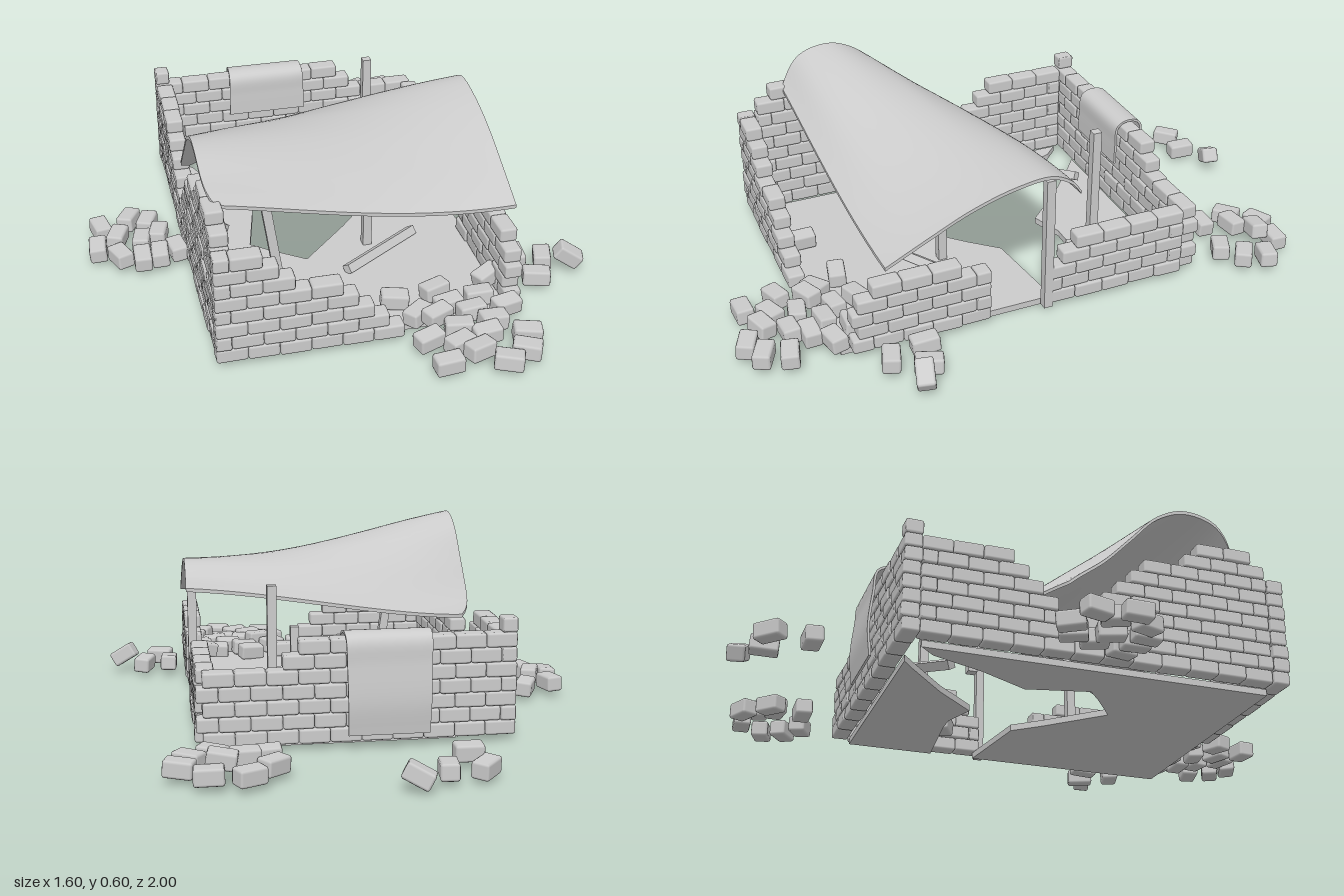
import * as THREE from 'three';
import { RoundedBoxGeometry } from 'three/addons/geometries/RoundedBoxGeometry.js';

const mat = new THREE.MeshStandardMaterial({ color: 0xcccccc });
const ROW = 0.047, BASE = 0.02, LEN = 0.098, DEPTH = 0.058;
const brickGeo = new RoundedBoxGeometry(LEN, ROW, DEPTH, 1, 0.008);

// small seeded jitter in -1..1
let seed = 7;
const jitter = () => {
  seed = (seed * 16807) % 2147483647;
  return (seed / 2147483647) * 2 - 1;
};

function add(parent, geo, name) {
  const m = new THREE.Mesh(geo, mat);
  m.name = name;
  parent.add(m);
  return m;
}

function group(parent, name) {
  const g = new THREE.Group();
  g.name = name;
  parent.add(g);
  return g;
}

// Brick wall along x or z; steps = [end, rows] pairs giving the broken top outline
function wall(parent, name, axis, fixed, start, steps) {
  const g = group(parent, name);
  const end = steps[steps.length - 1][0];
  const rowsAt = t => (steps.find(s => t <= s[0]) || [0, 0])[1];
  for (let r = 0; r < 10; r++) {
    let t = start, len = r % 2 ? LEN / 2 : LEN;
    while (t < end - 0.02) {
      const l = Math.min(len, end - t), mid = t + l / 2;
      if (rowsAt(mid) > r) {
        const b = add(g, brickGeo, 'brick');
        const off = fixed + jitter() * 0.003;
        b.scale.x = l / LEN;
        b.position.set(axis === 'x' ? mid : off, BASE + (r + 0.5) * ROW, axis === 'x' ? off : mid);
        b.rotation.y = (axis === 'x' ? 0 : Math.PI / 2) + jitter() * 0.02;
      }
      t += l;
      len = LEN;
    }
  }
}

// Loose bricks: [x, z, turn, height, tilt]
function rubble(parent, name, list) {
  const g = group(parent, name);
  for (const [x, z, turn, y = 0.045, tilt = 0] of list) {
    const b = add(g, brickGeo, 'looseBrick');
    b.scale.set(0.92, 1.15, 1);
    b.position.set(x, y + jitter() * 0.004, z);
    b.rotation.set(jitter() * 0.1, turn, tilt + jitter() * 0.08, 'YXZ');
  }
}

// Square beam between two points
function beam(parent, name, a, b, w = 0.03) {
  const p = new THREE.Vector3(...a), q = new THREE.Vector3(...b);
  const m = add(parent, new THREE.BoxGeometry(w, p.distanceTo(q), w), name);
  m.position.copy(p).add(q).multiplyScalar(0.5);
  m.quaternion.setFromUnitVectors(new THREE.Vector3(0, 1, 0), q.sub(p).normalize());
}

// Thin curved sheet: a box bent by rule(u, v, w), with w = 0 below and 1 above
function sheet(parent, name, nu, nv, rule) {
  const geo = new THREE.BoxGeometry(1, 1, 1, nu, 1, nv), p = geo.attributes.position;
  for (let i = 0; i < p.count; i++) {
    p.setXYZ(i, ...rule(p.getX(i) + 0.5, p.getZ(i) + 0.5, p.getY(i) + 0.5));
  }
  geo.computeVertexNormals();
  return add(parent, geo, name);
}

// Broken floor slab from an [x, z] outline
function slab(parent, name, pts) {
  const shape = new THREE.Shape(pts.map(([x, z]) => new THREE.Vector2(x, -z)));
  const geo = new THREE.ExtrudeGeometry(shape, { depth: 0.022, bevelEnabled: false });
  geo.rotateX(-Math.PI / 2);
  add(parent, geo, name);
}

const curve = pts => new THREE.CatmullRomCurve3(pts.map(([z, y]) => new THREE.Vector3(0, y, z)));

export function createModel() {
  const model = new THREE.Group();
  model.name = 'ruinedBrickHut';

  // Floor
  slab(model, 'mainFloor', [[-0.42, 0.69], [-0.42, -0.47], [-0.37, -0.42], [-0.3, -0.24], [-0.21, -0.07],
    [-0.26, 0.14], [-0.2, 0.19], [-0.09, 0.27], [0.08, 0.1], [0.16, 0.01], [0.48, -0.03], [0.48, 0.69]]);
  slab(model, 'backFloor', [[-0.3, -0.49], [0.48, -0.49], [0.48, -0.19], [0.2, -0.22], [0.14, -0.22],
    [0.03, -0.18], [-0.1, -0.32], [-0.25, -0.45]]);

  // Walls with broken, stepped tops
  wall(model, 'frontWall', 'x', 0.72, -0.48, [[-0.36, 8], [-0.28, 7], [-0.19, 6], [-0.1, 5], [-0.04, 4],
    [0.01, 3], [0.06, 2], [0.11, 1]]);
  wall(model, 'backWall', 'x', -0.52, -0.48, [[-0.42, 8], [0.24, 7], [0.29, 6], [0.52, 5]]);
  wall(model, 'rightWall', 'z', -0.451, -0.49, [[-0.17, 7], [-0.1, 6], [-0.06, 5], [-0.02, 3], [0.02, 2],
    [0.06, 3], [0.1, 4], [0.16, 5], [0.22, 6], [0.28, 7], [0.35, 8], [0.43, 9], [0.64, 10], [0.69, 9]]);
  wall(model, 'leftWallBack', 'z', 0.491, -0.49, [[-0.1, 5], [-0.05, 4], [-0.01, 2]]);
  wall(model, 'leftWallFront', 'z', 0.491, 0.2, [[0.25, 4], [0.58, 5], [0.66, 4]]);

  // Sagging roof sheet, blended between its two end profiles
  const endA = curve([[0, 0.28], [0.1, 0.35], [0.2, 0.45], [0.3, 0.55], [0.4, 0.59], [0.51, 0.565], [0.59, 0.47]]);
  const endB = curve([[-0.1, 0.42], [-0.07, 0.46], [0, 0.495], [0.12, 0.485], [0.27, 0.44], [0.42, 0.37], [0.55, 0.305]]);
  sheet(model, 'roofSheet', 32, 32, (u, v, w) => {
    const a = endA.getPoint(v), b = endB.getPoint(v);
    const k = u * u * (3 - 2 * u) * 0.5 + u * 0.5;
    const zk = 1 - (1 - u) ** 3;
    const edge = Math.abs(2 * v - 1);
    return [
      -0.478 + u * 1.005 + 0.04 * edge ** 8 * (1 - u) ** 6,
      a.y + (b.y - a.y) * k - 0.025 * Math.sin(Math.PI * u) * v + w * 0.012,
      a.z + (b.z - a.z) * (zk * (1 - v) + u * v),
    ];
  });

  // Cloth folded over the back wall
  const fold = curve([[-0.572, 0.05], [-0.582, 0.15], [-0.572, 0.27], [-0.562, 0.345], [-0.52, 0.36],
    [-0.482, 0.345], [-0.476, 0.28], [-0.474, 0.205]]);
  sheet(model, 'hangingCloth', 6, 40, (u, v, w) => {
    const p = fold.getPoint(v), t = fold.getTangent(v), d = w * 0.008;
    return [-0.205 + 0.27 * u + 0.015 * (0.5 - v) * Math.cos(Math.PI * u), p.y + t.z * d, p.z - t.y * d];
  });

  // Posts and fallen planks
  beam(model, 'doorPost', [0.505, 0.01, 0], [0.505, 0.485, 0]);
  beam(model, 'innerPost', [0.262, 0.01, -0.285], [0.262, 0.47, -0.285]);
  beam(model, 'brokenPost', [0.13, 0.02, 0.22], [0.13, 0.22, 0.22]);
  beam(model, 'shortPost', [-0.28, 0, -0.27], [-0.28, 0.1, -0.27]);
  beam(model, 'leaningPost', [-0.21, 0.02, 0.41], [-0.28, 0.5, 0.41]);
  beam(model, 'fallenPlank', [-0.26, 0.03, -0.33], [-0.12, 0.06, -0.42]);
  beam(model, 'fallenPlank', [-0.41, 0.04, -0.07], [-0.33, 0.04, 0.05]);
  beam(model, 'fallenPlank', [0.02, 0.035, 0.38], [0.3, 0.035, 0.2]);

  // Rubble around and inside the hut
  rubble(model, 'backRubble', [[-0.29, -0.9, 0.85], [-0.18, -0.9, 1.45], [-0.08, -0.965, -0.3, 0.05, 0.4], [-0.27, -0.77, 0]]);
  rubble(model, 'backCornerRubble', [[0.385, -0.88, 0.45], [0.5, -0.87, -0.05], [0.31, -0.8, 0.7],
    [0.46, -0.82, -0.15, 0.075, 0.2], [0.58, -0.79, -0.3], [0.39, -0.77, 0.1, 0.065], [0.55, -0.72, -0.6],
    [0.32, -0.69, 0], [0.48, -0.67, -0.45]]);
  rubble(model, 'sideRubble', [[-0.75, -0.04, -1.35], [-0.65, -0.08, 1.1], [-0.59, -0.05, 1.2], [-0.7, 0.04, 1.2, 0.06],
    [-0.77, 0.08, 1.5], [-0.62, 0.06, 1.35], [-0.56, 0.03, 1.3], [-0.7, 0.14, -1.2], [-0.63, 0.17, 1.55],
    [-0.57, 0.16, 1.5], [-0.51, 0.14, -1.4]]);
  rubble(model, 'frontCornerRubble', [[0.58, 0.45, 1.5], [0.67, 0.47, 1.25], [0.745, 0.51, -0.3, 0.065, -0.6], [0.61, 0.57, -0.3]]);
  rubble(model, 'frontRubble', [[0.17, 0.68, 0.6], [0.28, 0.65, 0.15], [0.39, 0.625, -0.05], [0.22, 0.72, 0.4, 0.065],
    [0.34, 0.7, 0.1], [0.455, 0.7, 0.2], [0.275, 0.77, -0.2], [0.39, 0.76, 0.05], [0.165, 0.81, 0.3],
    [0.35, 0.815, 0.05], [0.47, 0.845, -0.25], [0.25, 0.85, 0.4, 0.05], [0.19, 0.925, 0.05], [0.3, 0.89, 0.35],
    [0.44, 0.92, -0.45], [0.37, 0.955, -0.4]]);
  rubble(model, 'insideRubble', [[0.26, -0.43, 0.05, 0.05], [0.38, -0.4, -0.2, 0.05], [0.32, -0.19, -0.5, 0.05],
    [-0.12, 0.64, 1.55, 0.05], [0.12, 0.59, -0.2, 0.05], [0.26, 0.57, 0.3, 0.05], [0.44, 0.56, 0.4, 0.07, 0.2]]);

  return model;
}
